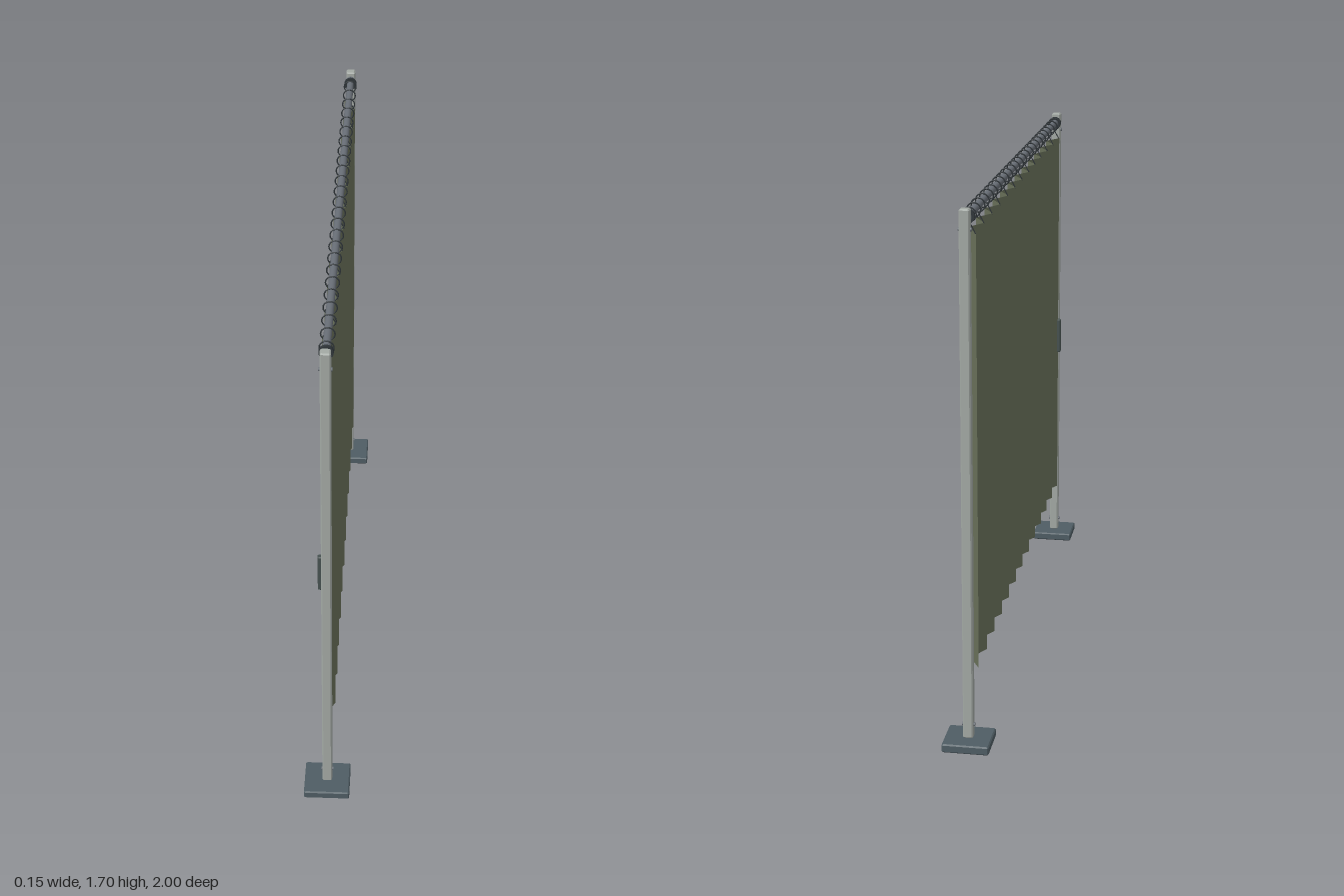
import * as THREE from 'three';

const mat = (name, color, extra = {}) => Object.assign(new THREE.MeshStandardMaterial({ color, ...extra }), { name });

// Box with chamfered edges, standing on y = 0
function chamferBox(w, h, d, c) {
  const x = w / 2, z = d / 2;
  const pts = [[x, z - c], [x - c, z], [c - x, z], [-x, z - c], [-x, c - z], [c - x, -z], [x - c, -z], [x, c - z]];
  const shape = new THREE.Shape(pts.map(([a, b]) => new THREE.Vector2(a, b)));
  const g = new THREE.ExtrudeGeometry(shape, {
    depth: h - 2 * c, bevelEnabled: true, bevelSegments: 1, bevelSize: c, bevelThickness: c, bevelOffset: -c,
  });
  return g.translate(0, 0, c).rotateX(-Math.PI / 2);
}

export function createModel() {
  const model = new THREE.Group();
  model.name = 'curtainScreen';

  const steel = mat('postSteel', 0xa3a9a4);
  const baseGrey = mat('baseSlate', 0x4f5d64);
  const railGrey = mat('railGrey', 0x686e76);
  const dark = mat('darkMetal', 0x30363a);
  const cloth = mat('oliveCloth', 0x6a725b, { side: THREE.DoubleSide });
  const grip = mat('handleGrey', 0x465150);

  const add = (parent, name, geometry, material, x = 0, y = 0, z = 0) => {
    const m = new THREE.Mesh(geometry, material);
    m.name = name;
    m.position.set(x, y, z);
    parent.add(m);
    return m;
  };
  const cylZ = (r, len, n = 24) => new THREE.CylinderGeometry(r, r, len, n).rotateX(Math.PI / 2);

  const railY = 1.665, top = 1.612, bottom = 0.23;
  const folds = 24, halfLen = 0.863, depth = 0.02;

  // Two posts with foot plates, bolts and rail sockets
  for (const s of [1, -1]) {
    const stand = new THREE.Group();
    stand.name = s > 0 ? 'frontStand' : 'backStand';
    model.add(stand);
    add(stand, 'footPlate', chamferBox(0.148, 0.028, 0.14, 0.004), baseGrey, 0, 0, s * 0.93);
    add(stand, 'post', chamferBox(0.032, 1.669, 0.032, 0.004), steel, 0, 0.027, s * 0.93);
    for (const y of [0.07, 1.635]) {
      add(stand, 'bolt', new THREE.CylinderGeometry(0.006, 0.006, 0.04, 12).rotateZ(Math.PI / 2), railGrey, 0, y, s * 0.93);
    }
    add(stand, 'railSocket', cylZ(0.016, 0.008), railGrey, 0, railY, s * 0.911);
    add(stand, 'endStop', cylZ(0.022, 0.01), dark, 0, railY, s * 0.887);
  }

  // Top rail
  add(model, 'rail', cylZ(0.012, 1.83), railGrey, 0, railY, 0);

  // Pleated curtain
  const foldX = i => (i % 2 ? depth : -depth);
  const foldZ = i => halfLen - (2 * halfLen * i) / folds;
  const sheet = new THREE.PlaneGeometry(1, 1, folds, 1);
  const p = sheet.attributes.position;
  for (let k = 0; k < p.count; k++) {
    const i = k % (folds + 1);
    p.setXYZ(k, foldX(i), k <= folds ? top : bottom, foldZ(i));
  }
  const pleats = sheet.toNonIndexed();
  pleats.computeVertexNormals();
  add(model, 'curtain', pleats, cloth);

  // Rings on the rail, each with a wire hook to a pleat
  const ringGeo = new THREE.TorusGeometry(0.021, 0.0022, 8, 20);
  for (let i = 0; i <= folds; i++) {
    const z = foldZ(i), x = foldX(i);
    add(model, 'ring', ringGeo, dark, 0, railY, z);
    const hook = new THREE.LineCurve3(
      new THREE.Vector3(0, railY - 0.021, z), new THREE.Vector3(x * 0.95, top - 0.004, z));
    add(model, 'hook', new THREE.TubeGeometry(hook, 1, 0.0018, 6), dark);
  }

  // Pull handle on the leading edge
  add(model, 'pullHandle', chamferBox(0.02, 0.13, 0.018, 0.003), grip, -0.02, 0.78, 0.867);

  return model;
}
